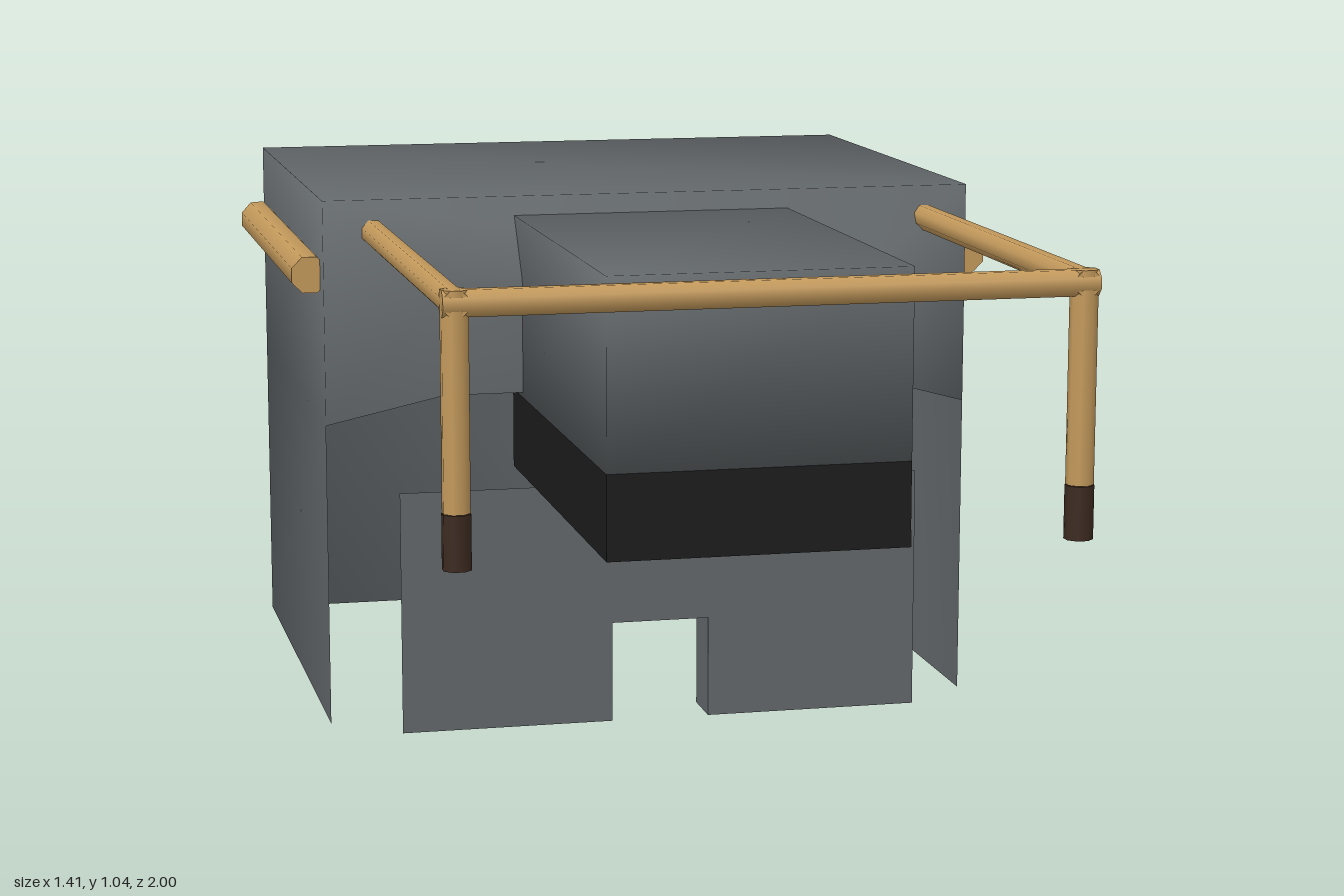
import * as THREE from 'three';
import { mergeVertices } from 'three/addons/utils/BufferGeometryUtils.js';

const material = (name, color, side = THREE.FrontSide) => {
  const m = new THREE.MeshStandardMaterial({ color, side });
  m.name = name;
  return m;
};

export function createModel() {
  const grey = material('slate grey', 0x62676a, THREE.DoubleSide);
  const black = material('black', 0x1c1c1c);
  const tan = material('tan wood', 0xc49a5c);
  const brown = material('dark brown', 0x3c2a20);

  const model = new THREE.Group();
  model.name = 'model';
  const add = (name, geometry, mat, x = 0, y = 0, z = 0) => {
    const mesh = new THREE.Mesh(geometry, mat);
    mesh.name = name;
    mesh.position.set(x, y, z);
    model.add(mesh);
    return mesh;
  };

  // box between two corners, optionally with corners shaded smoothly
  const box = (name, mat, [x0, y0, z0], [x1, y1, z1], smooth = false) => {
    let g = new THREE.BoxGeometry(x1 - x0, y1 - y0, z1 - z0);
    if (smooth) {
      g.deleteAttribute('uv');
      g.deleteAttribute('normal');
      g = mergeVertices(g);
      g.computeVertexNormals();
    }
    return add(name, g, mat, (x0 + x1) / 2, (y0 + y1) / 2, (z0 + z1) / 2);
  };

  // open shell: three walls, roof and a bevelled hood at the front
  const w = 0.648, front = 0.01, hw = 0.43, hz = 0.115;
  const points = [];
  for (const y of [0, 0.6, 1.04]) {
    for (const [x, z] of [[w, front], [w, -1], [-w, -1], [-w, front]]) points.push(x, y, z);
  }
  points.push(hw, 0.67, hz, hw, 0.89, hz, -hw, 0.89, hz, -hw, 0.67, hz);
  const quads = [[8, 9, 10, 11], [12, 13, 14, 15], [13, 8, 11, 14], [12, 4, 8, 13], [7, 15, 14, 11]];
  for (const level of [0, 4]) {
    for (let c = 0; c < 3; c++) {
      const a = level + c;
      quads.push([a, a + 1, a + 5, a + 4]);
    }
  }
  const shell = new THREE.BufferGeometry();
  shell.setAttribute('position', new THREE.Float32BufferAttribute(points, 3));
  shell.setIndex(quads.flatMap(([a, b, c, d]) => [a, b, c, a, c, d]));
  shell.computeVertexNormals();
  add('bodyShell', shell, grey);

  // thin front plate with a doorway
  const plate = new THREE.Shape();
  [[-0.52, 0], [-0.1, 0], [-0.1, 0.2], [0.095, 0.2], [0.095, 0], [0.52, 0], [0.52, 0.48], [-0.52, 0.48]]
    .forEach(([x, y], i) => (i ? plate.lineTo(x, y) : plate.moveTo(x, y)));
  add('frontPlate', new THREE.ShapeGeometry(plate), grey, 0, 0, 0.11);

  // doorway lining
  for (const x of [-0.1, 0.095]) {
    const side = add('doorwaySide', new THREE.PlaneGeometry(0.1, 0.2), grey, x, 0.1, 0.06);
    side.rotation.y = Math.sign(x) * Math.PI / 2;
  }
  add('doorwayTop', new THREE.PlaneGeometry(0.195, 0.1), grey, -0.0025, 0.2, 0.06).rotation.x = -Math.PI / 2;

  // block reaching forward from the hood
  box('frontBlock', grey, [-0.277, 0.66, 0.03], [0.272, 1.005, 0.89], true);
  box('frontBlockBase', black, [-0.277, 0.505, 0.01], [0.272, 0.66, 0.89]);
  box('baseTrim', grey, [0.27, 0.505, 0.22], [0.274, 0.535, 0.888]);

  // eight-sided rod along an axis, flat sides facing out
  const rod = (name, mat, r, length, axis, x, y, z) => {
    const g = new THREE.CylinderGeometry(r, r, length, 8);
    g.rotateY(Math.PI / 8);
    if (axis === 'x') g.rotateZ(Math.PI / 2);
    if (axis === 'z') g.rotateX(Math.PI / 2);
    return add(name, g, mat, x, y, z);
  };

  for (const s of [-1, 1]) {
    // side rail with its rear end cut at a slant
    const rail = rod('sideRail', tan, 0.038, 0.94, 'z', s * 0.668, 0.89, -0.51);
    const p = rail.geometry.attributes.position;
    for (let i = 0; i < p.count; i++) {
      if (p.getZ(i) < 0) p.setZ(i, p.getZ(i) + 0.02 + s * p.getX(i) * 0.5);
    }

    // frame arm, leg and foot
    rod('frameArm', tan, 0.025, 0.96, 'z', s * 0.553, 0.98, 0.515);
    rod('frameLeg', tan, 0.025, 0.38, 'y', s * 0.553, 0.813, 0.973);
    rod('frameFoot', brown, 0.026, 0.097, 'y', s * 0.553, 0.5735, 0.973);
  }
  rod('frameFrontBar', tan, 0.025, 1.152, 'x', 0, 0.98, 0.975);

  return model;
}
